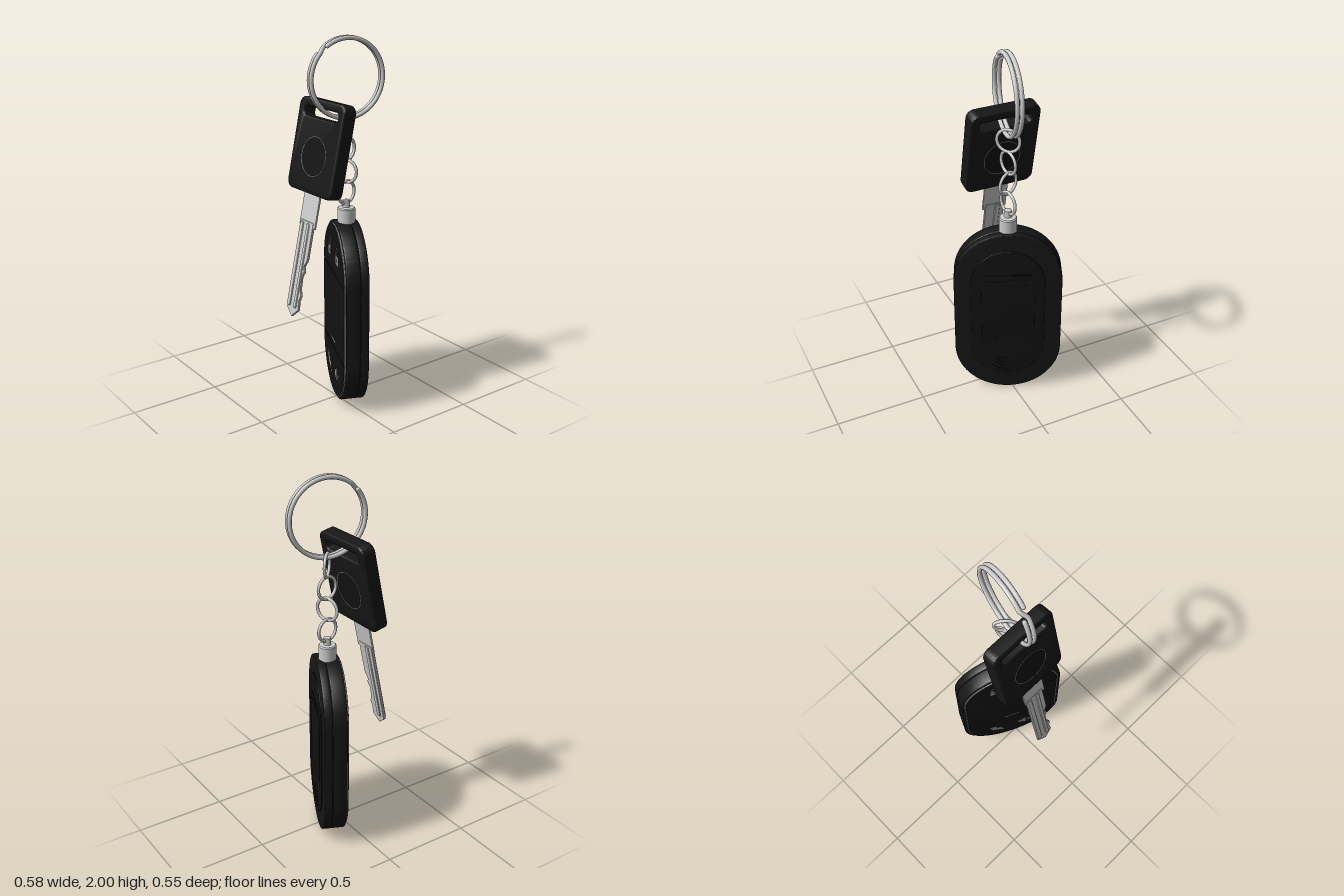
import * as THREE from 'three';
import { toCreasedNormals } from 'three/addons/utils/BufferGeometryUtils.js';

const paint = (color) => new THREE.MeshStandardMaterial({ color });
const BLACK = paint(0x161616), PANEL = paint(0x121212), DARK = paint(0x050505);
const METAL = paint(0xcccccc), INK = paint(0x8a8a8a);

function add(parent, name, geometry, material, x = 0, y = 0, z = 0) {
  const mesh = new THREE.Mesh(geometry, material);
  mesh.name = name;
  mesh.position.set(x, y, z);
  parent.add(mesh);
  return mesh;
}

// Rounded rectangle outline; r = w / 2 gives a stadium
function roundRect(w, h, r, cx = 0, cy = 0, Type = THREE.Shape) {
  const s = new Type(), x = w / 2 - r, y = h / 2 - r;
  s.absarc(cx + x, cy + y, r, 0, Math.PI / 2);
  s.absarc(cx - x, cy + y, r, Math.PI / 2, Math.PI);
  s.absarc(cx - x, cy - y, r, Math.PI, Math.PI * 1.5);
  s.absarc(cx + x, cy - y, r, Math.PI * 1.5, Math.PI * 2);
  s.closePath();
  return s;
}

const polygon = (pts) => new THREE.Shape(pts.map(([x, y]) => new THREE.Vector2(x, y)));

// Plate between z0 and z1 with an optional rounded edge kept inside the outline
function slab(shape, z0, z1, bevel = 0, segments = 3) {
  const g = new THREE.ExtrudeGeometry(shape, {
    depth: z1 - z0 - 2 * bevel, curveSegments: 20, bevelEnabled: bevel > 0,
    bevelSize: bevel, bevelThickness: bevel, bevelOffset: -bevel, bevelSegments: segments,
  });
  g.translate(0, 0, z0 + bevel);
  return toCreasedNormals(g, 0.6);
}

function createFob() {
  const fob = new THREE.Group();
  fob.name = 'remoteFob';
  const W = 0.584, H = 1.02, mid = H / 2;
  const stadium = (w, h) => roundRect(w, h, w / 2 - 1e-4);

  // Two shells meeting at a seam
  add(fob, 'backShell', slab(stadium(W, H), -0.062, -0.018, 0.005), BLACK, 0, mid);
  add(fob, 'shellSeam', slab(stadium(W - 0.016, H - 0.016), -0.03, 0.0), DARK, 0, mid);
  add(fob, 'frontShell', slab(stadium(W, H), -0.016, 0.06, 0.006), BLACK, 0, mid);

  // Bright trim line round the buttons
  const trim = stadium(0.55, H - 0.034);
  trim.holes.push(roundRect(0.538, H - 0.046, 0.2689, 0, 0, THREE.Path));
  add(fob, 'faceTrim', slab(trim, 0.055, 0.067), INK, 0, mid);

  // Three button plates: round ends and a straight middle
  const r = 0.268, lowY = 0.291, highY = 0.729, gap = 0.003;
  const cap = (a) => { const s = new THREE.Shape(); s.absarc(0, 0, r, a, a + Math.PI); s.closePath(); return s; };
  add(fob, 'upperButton', slab(cap(0), 0.055, 0.07, 0.003), PANEL, 0, highY + gap);
  add(fob, 'lowerButton', slab(cap(Math.PI), 0.055, 0.07, 0.003), PANEL, 0, lowY - gap);
  add(fob, 'middleButton', slab(roundRect(2 * r, highY - lowY - 2 * gap, 0.004), 0.055, 0.07, 0.003), PANEL, 0, mid);

  // Button symbols
  const Z0 = 0.068, Z1 = 0.0715;
  const icon = (name, shape, x, y) => add(fob, name, slab(shape, Z0, Z1), INK, x, y);
  for (const side of [-1, 1]) {
    const body = roundRect(0.056, 0.05, 0.005);
    body.holes.push(new THREE.Path().absarc(0, 0, 0.009, 0, Math.PI * 2));
    const x = side * 0.095;
    icon('padlockBody', body, x, 0.832);
    const shackle = add(fob, 'padlockShackle', new THREE.TorusGeometry(0.019, 0.004, 6, 20, Math.PI), INK, x, 0.882, 0.069);
    const leg = add(fob, 'padlockLeg', new THREE.BoxGeometry(0.008, 0.028, 0.005), INK, x - 0.019, 0.868, 0.07);
    if (side < 0) add(fob, 'padlockLeg', leg.geometry, INK, x + 0.019, 0.868, 0.07);
    else shackle.rotation.z = -0.15;
  }
  icon('indicatorBar', roundRect(0.09, 0.011, 0.005), 0, 0.337);
  icon('boltSymbol', polygon([[-0.045, 0.048], [-0.008, 0.048], [0.006, 0.008], [0.03, 0.008],
    [0.045, -0.05], [-0.006, -0.012], [-0.02, -0.012]]), -0.1, 0.16);
  icon('speakerSymbol', polygon([[-0.045, 0.018], [-0.025, 0.018], [0, 0.04], [0, -0.04],
    [-0.025, -0.018], [-0.045, -0.018]]), 0.085, 0.16);
  for (const a of [-1, 1]) {
    add(fob, 'muteCross', new THREE.BoxGeometry(0.055, 0.008, 0.004), INK, 0.118, 0.16, 0.07)
      .rotation.z = a * Math.PI / 4;
  }

  // Back cover, battery door and grip arcs
  add(fob, 'backCover', slab(stadium(0.4, 0.82), -0.067, -0.05, 0.003), PANEL, 0, mid);
  add(fob, 'batteryDoor', slab(roundRect(0.29, 0.38, 0.01), -0.07, -0.06, 0.002), PANEL, 0, 0.54);
  add(fob, 'doorSlot', new THREE.BoxGeometry(0.26, 0.007, 0.004), DARK, 0, 0.77, -0.067);
  for (let i = 0; i < 4; i++) {
    add(fob, 'gripArc', new THREE.TorusGeometry(0.05 + i * 0.025, 0.004, 6, 20, 1.7), BLACK, 0, 0.25, -0.067)
      .rotation.z = -Math.PI / 2 - 0.85;
  }

  // Metal post with eyelet stub
  const post = [[0, 0.99], [0.048, 0.99], [0.048, 1.092], [0.043, 1.098], [0.02, 1.1], [0.02, 1.138], [0, 1.142]];
  const postGeometry = new THREE.LatheGeometry(post.map(([x, y]) => new THREE.Vector2(x, y)), 28);
  add(fob, 'post', toCreasedNormals(postGeometry, 0.6), METAL);

  fob.position.z = -0.063;
  fob.rotation.y = -0.434;
  return fob;
}

// Chain links, each turned about the vertical
function createChain() {
  const chain = new THREE.Group();
  chain.name = 'chain';
  const link = new THREE.TorusGeometry(0.061, 0.0085, 10, 36);
  [[1.18, 1.75], [1.296, 0.38], [1.413, 1.75], [1.537, -0.8]].forEach(([y, turn]) => {
    add(chain, 'chainLink', link, METAL, 0, y, -0.063).rotation.y = turn;
  });
  return chain;
}

// Split ring: two coils of wire joined by a short cross-over kink
function createSplitRing() {
  const pts = [], rad = Math.PI / 180, R = 0.204;
  for (let a = 56; a <= 758; a += 3) {
    const x = 0.0125 * (1 - 2 * THREE.MathUtils.smoothstep(a, 399, 415));
    pts.push(new THREE.Vector3(x, R * Math.sin(a * rad), R * Math.cos(a * rad)));
  }
  const ring = new THREE.Group();
  ring.name = 'splitRing';
  const wire = 0.0118;
  add(ring, 'ringWire', new THREE.TubeGeometry(new THREE.CatmullRomCurve3(pts), 320, wire, 10), METAL);
  for (const p of [pts[0], pts[pts.length - 1]]) {
    add(ring, 'wireEnd', new THREE.SphereGeometry(wire, 12, 8), METAL, p.x, p.y, p.z);
  }
  ring.position.set(0.002, 1.784, -0.06);
  ring.rotation.y = -0.175;
  return ring;
}

function createKey() {
  const key = new THREE.Group();
  key.name = 'key';

  // Head with a slot for the ring and a round mark on both faces
  const head = roundRect(0.388, 0.485, 0.045);
  head.holes.push(roundRect(0.29, 0.05, 0.02, 0, 0.172, THREE.Path));
  add(key, 'keyHead', slab(head, -0.039, 0.039, 0.01, 4), BLACK);
  for (const s of [-1, 1]) {
    add(key, 'headRing', new THREE.TorusGeometry(0.102, 0.003, 6, 48), INK, 0, -0.05, s * 0.037);
    add(key, 'headDisc', new THREE.CylinderGeometry(0.099, 0.099, 0.004, 40), PANEL, 0, -0.05, s * 0.038)
      .rotation.x = Math.PI / 2;
  }

  // Thin tang, then the cut blade with lengthwise ridges
  add(key, 'tang', new THREE.BoxGeometry(0.136, 0.24, 0.01), METAL, -0.003, -0.3, 0);
  const blade = polygon([[-0.062, -0.39], [0.05, -0.39], [0.05, -0.59], [0.03, -0.63], [0.041, -0.655],
    [0.026, -0.685], [0.029, -0.75], [0.046, -0.785], [0.036, -0.815], [0.042, -0.865], [-0.008, -0.912], [-0.06, -0.87]]);
  add(key, 'blade', slab(blade, -0.007, 0.007, 0.002, 1), METAL);
  const ridge = (x, w, z, length) =>
    add(key, 'bladeRidge', slab(roundRect(w, length, 0.006), -0.004, 0.004, 0.003, 1), METAL, x, -0.4 - length / 2, z);
  ridge(-0.045, 0.03, 0.008, 0.46);
  ridge(0.01, 0.024, 0.008, 0.46);
  ridge(-0.02, 0.03, -0.008, 0.46);

  key.position.set(-0.024, 1.437, 0.083);
  key.rotation.x = -0.208;
  return key;
}

export function createModel() {
  const model = new THREE.Group();
  model.name = 'keychain';
  model.add(createFob(), createChain(), createSplitRing(), createKey());
  return model;
}
